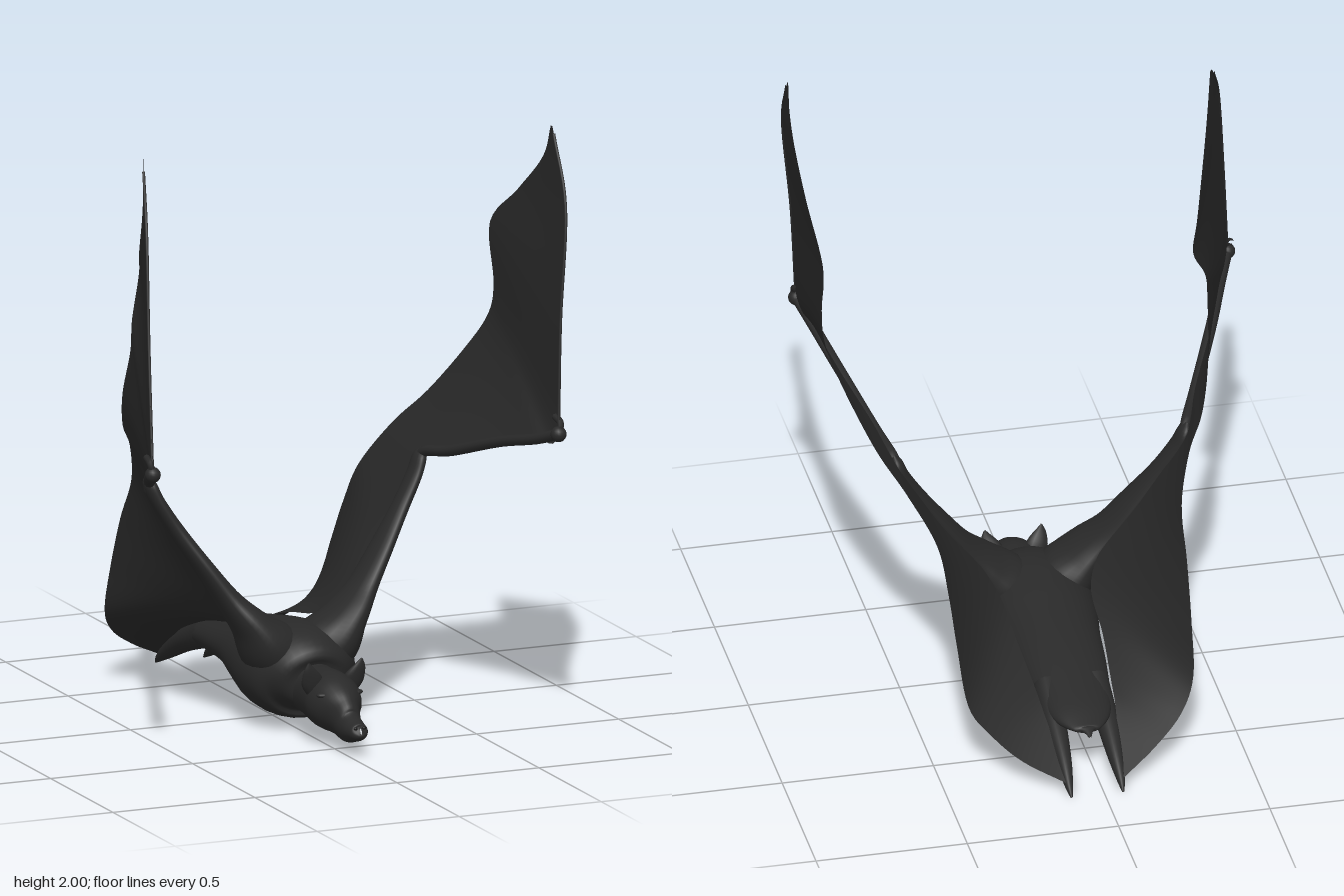
import * as THREE from 'three';

const CX = 0.025; // body centre line
const V = (x, y, z) => new THREE.Vector3(x, y, z);
const path = (pts) => new THREE.CatmullRomCurve3(pts, false, 'catmullrom', 0.5);

// Joins rows of points into a smooth surface
function skin(rows, closed) {
  const w = rows[0].length, index = [];
  for (let i = 0; i < rows.length - 1; i++) {
    for (let j = 0; j < (closed ? w : w - 1); j++) {
      const k = (j + 1) % w;
      const a = i * w + j, b = i * w + k, c = a + w, d = b + w;
      index.push(a, c, b, b, c, d);
    }
  }
  const g = new THREE.BufferGeometry().setFromPoints(rows.flat());
  g.setIndex(index);
  g.computeVertexNormals();
  return g;
}

// Oval cross-sections along a path; each key is [x, y, z, radius along ref, other radius]
function loft(keys, ref, steps = 40, sides = 24) {
  const spine = path(keys.map((k) => V(k[0], k[1], k[2])));
  const size = path(keys.map((k) => V(k[3], k[4], 0)));
  const rows = [];
  for (let i = 0; i <= steps; i++) {
    const c = spine.getPoint(i / steps), r = size.getPoint(i / steps), t = spine.getTangent(i / steps);
    const u = ref.clone().addScaledVector(t, -ref.dot(t)).normalize();
    const v = u.clone().cross(t);
    rows.push(Array.from({ length: sides }, (_, j) => {
      const a = (j / sides) * Math.PI * 2;
      return c.clone().addScaledVector(u, Math.cos(a) * Math.max(r.x, 0.001))
        .addScaledVector(v, Math.sin(a) * Math.max(r.y, 0.001));
    }));
  }
  return skin(rows, true);
}

// Turns [z, bottom, top, half width] into loft keys on the centre line
const profile = (rows) => rows.map(([z, b, t, w]) => [CX, (b + t) / 2, z, w, (t - b) / 2]);

// Wing membranes: each row joins a point on the body, arm or finger to one on the free edge
const leftWing = [
  [0.11, 0.05, -0.75, 0.12, 0.04, -0.765],
  [0.14, 0.16, -0.56, 0.25, 0.10, -0.70],
  [0.15, 0.21, -0.44, 0.34, 0.17, -0.63],
  [0.165, 0.27, -0.25, 0.40, 0.25, -0.57],
  [0.175, 0.32, -0.03, 0.42, 0.43, -0.49],
  [0.24, 0.42, 0.06, 0.43, 0.58, -0.41],
  [0.36, 0.58, 0.06, 0.45, 0.72, -0.33],
  [0.49, 0.80, 0.01, 0.53, 0.87, -0.24],
  [0.54, 0.88, 0.20, 0.61, 0.99, -0.14],
  [0.60, 0.95, 0.45, 0.69, 1.16, -0.01],
  [0.64, 1.00, 0.65, 0.73, 1.28, 0.07],
  [0.67, 1.04, 0.77, 0.735, 1.39, 0.10],
  [0.695, 1.40, 0.73, 0.74, 1.58, 0.06],
  [0.735, 1.76, 0.68, 0.755, 1.73, 0.25],
  [0.75, 1.98, 0.55, 0.76, 1.88, 0.44],
  [0.752, 2.0, 0.522, 0.752, 2.0, 0.52],
];
const rightWing = [
  [-0.06, 0.05, -0.75, -0.07, 0.04, -0.77],
  [-0.09, 0.16, -0.56, -0.19, 0.10, -0.70],
  [-0.10, 0.21, -0.44, -0.29, 0.17, -0.63],
  [-0.115, 0.27, -0.25, -0.345, 0.26, -0.56],
  [-0.125, 0.32, -0.03, -0.355, 0.42, -0.49],
  [-0.19, 0.42, 0.06, -0.36, 0.60, -0.40],
  [-0.31, 0.58, 0.06, -0.365, 0.75, -0.30],
  [-0.44, 0.80, 0.01, -0.41, 0.89, -0.21],
  [-0.52, 0.88, 0.20, -0.47, 0.98, -0.13],
  [-0.63, 0.95, 0.45, -0.51, 1.11, -0.04],
  [-0.70, 1.00, 0.63, -0.535, 1.28, 0.08],
  [-0.75, 1.04, 0.75, -0.525, 1.38, 0.07],
  [-0.71, 1.42, 0.63, -0.47, 1.51, 0.0],
  [-0.67, 1.77, 0.52, -0.50, 1.60, 0.07],
  [-0.62, 1.95, 0.38, -0.57, 1.80, 0.26],
  [-0.60, 1.98, 0.332, -0.60, 1.98, 0.33],
];

export function createModel() {
  const group = new THREE.Group();
  const fur = new THREE.MeshStandardMaterial({ color: 0x292929 });
  const membrane = new THREE.MeshStandardMaterial({ color: 0x292929, side: THREE.DoubleSide });
  const dark = new THREE.MeshStandardMaterial({ color: 0x151515 });
  fur.name = 'fur';
  membrane.name = 'wingSkin';
  dark.name = 'eyeBlack';
  const add = (name, geometry, material = fur) => {
    const m = new THREE.Mesh(geometry, material);
    m.name = name;
    group.add(m);
    return m;
  };
  const ball = (name, r, pos, scale, material) => {
    const m = add(name, new THREE.SphereGeometry(r, 16, 12), material);
    m.position.copy(pos);
    m.scale.set(...scale);
    return m;
  };
  const X = V(1, 0, 0), Z = V(0, 0, 1);

  // Torso ending in the short tail
  add('body', loft(profile([
    [0.31, 0.12, 0.20, 0.03], [0.285, 0.075, 0.25, 0.10], [0.24, 0.045, 0.315, 0.155],
    [0.18, 0.03, 0.34, 0.185], [0.08, 0.03, 0.34, 0.19], [-0.03, 0.065, 0.325, 0.175],
    [-0.15, 0.105, 0.30, 0.155], [-0.3, 0.12, 0.27, 0.14], [-0.45, 0.12, 0.235, 0.12],
    [-0.57, 0.13, 0.205, 0.095], [-0.645, 0.15, 0.18, 0.05], [-0.66, 0.155, 0.175, 0.02],
    [-0.695, 0.155, 0.16, 0.003],
  ]), X, 60, 32));

  // Head with long snout
  add('head', loft(profile([
    [0.655, 0.08, 0.10, 0.003], [0.645, 0.06, 0.112, 0.028], [0.61, 0.046, 0.12, 0.037],
    [0.56, 0.032, 0.142, 0.042], [0.52, 0.035, 0.18, 0.052], [0.48, 0.04, 0.212, 0.078],
    [0.43, 0.045, 0.235, 0.092], [0.37, 0.05, 0.238, 0.086], [0.3, 0.06, 0.235, 0.08],
    [0.24, 0.07, 0.25, 0.09],
  ]), X, 50, 28));

  for (const s of [1, -1]) {
    const side = s > 0 ? 'left' : 'right';
    const P = (dx, y, z) => V(CX + s * dx, y, z);
    const keys = (rows) => rows.map(([dx, ...r]) => [CX + s * dx, ...r]);

    // Face and ears
    ball(side + 'Eye', 0.014, P(0.054, 0.158, 0.49), [1.1, 0.65, 0.8], dark);
    ball(side + 'Brow', 0.022, P(0.055, 0.178, 0.482), [1.2, 0.45, 0.8], fur);
    ball(side + 'Nostril', 0.007, P(0.015, 0.098, 0.645), [1, 0.8, 0.8], dark);
    add(side + 'Ear', loft(keys([
      [0.06, 0.18, 0.42, 0.03, 0.02], [0.075, 0.215, 0.43, 0.036, 0.018],
      [0.088, 0.25, 0.442, 0.022, 0.01], [0.094, 0.28, 0.448, 0.002, 0.002],
    ]), X, 12, 12));

    // Hind leg running out to a pointed foot
    add(side + 'Leg', loft(keys([
      [0.08, 0.19, -0.4, 0.045, 0.05], [0.085, 0.135, -0.55, 0.038, 0.04],
      [0.085, 0.075, -0.68, 0.026, 0.03], [0.086, 0.03, -0.76, 0.014, 0.016],
      [0.085, 0.003, -0.8, 0.003, 0.003],
    ]), X, 20, 14));

    // Shoulder and broad upper arm
    add(side + 'UpperArm', loft(keys([
      [0.03, 0.20, 0.14, 0.11, 0.09], [0.11, 0.275, 0.15, 0.125, 0.095],
      [0.17, 0.35, 0.145, 0.11, 0.06], [0.235, 0.43, 0.125, 0.08, 0.04],
      [0.31, 0.54, 0.10, 0.064, 0.03], [0.39, 0.66, 0.07, 0.045, 0.025],
      [0.45, 0.76, 0.05, 0.042, 0.022], [0.475, 0.82, 0.04, 0.036, 0.02],
      [0.485, 0.85, 0.04, 0.005, 0.005],
    ]), Z, 44, 20));

    // Membrane with its free edge scalloped
    const wing = s > 0 ? leftWing : rightWing;
    const inner = path(wing.map((r) => V(r[0], r[1], r[2])));
    const outer = path(wing.map((r) => V(r[3], r[4], r[5])));
    const rows = [];
    for (let i = 0; i <= 90; i++) {
      const a = inner.getPoint(i / 90), b = outer.getPoint(i / 90);
      rows.push(Array.from({ length: 9 }, (_, j) => a.clone().lerp(b, j / 8)));
    }
    add(side + 'WingMembrane', skin(rows, false), membrane);

    // Forearm, wrist and thumb
    const at = (i) => V(wing[i][0], wing[i][1], wing[i][2]);
    const wrist = at(11);
    const arm = path([P(0.475, 0.80, 0.035), P(0.485, 0.84, 0.06), at(8).add(V(0, -0.01, 0)), at(9), at(10), wrist]);
    add(side + 'Forearm', new THREE.TubeGeometry(arm, 40, 0.018, 10));
    ball(side + 'Wrist', 0.026, wrist, [1, 1, 1], fur);
    const thumb = path([wrist, wrist.clone().add(V(0.008 * s, 0.035, 0)), wrist.clone().add(V(0.005 * s, 0.05, -0.04))]);
    add(side + 'Thumb', new THREE.TubeGeometry(thumb, 8, 0.011, 8));

    // Finger stiffening the front edge of the wing
    add(side + 'Finger', new THREE.TubeGeometry(path([wrist, at(12), at(13), at(14)]), 24, 0.005, 6));
  }
  return group;
}
